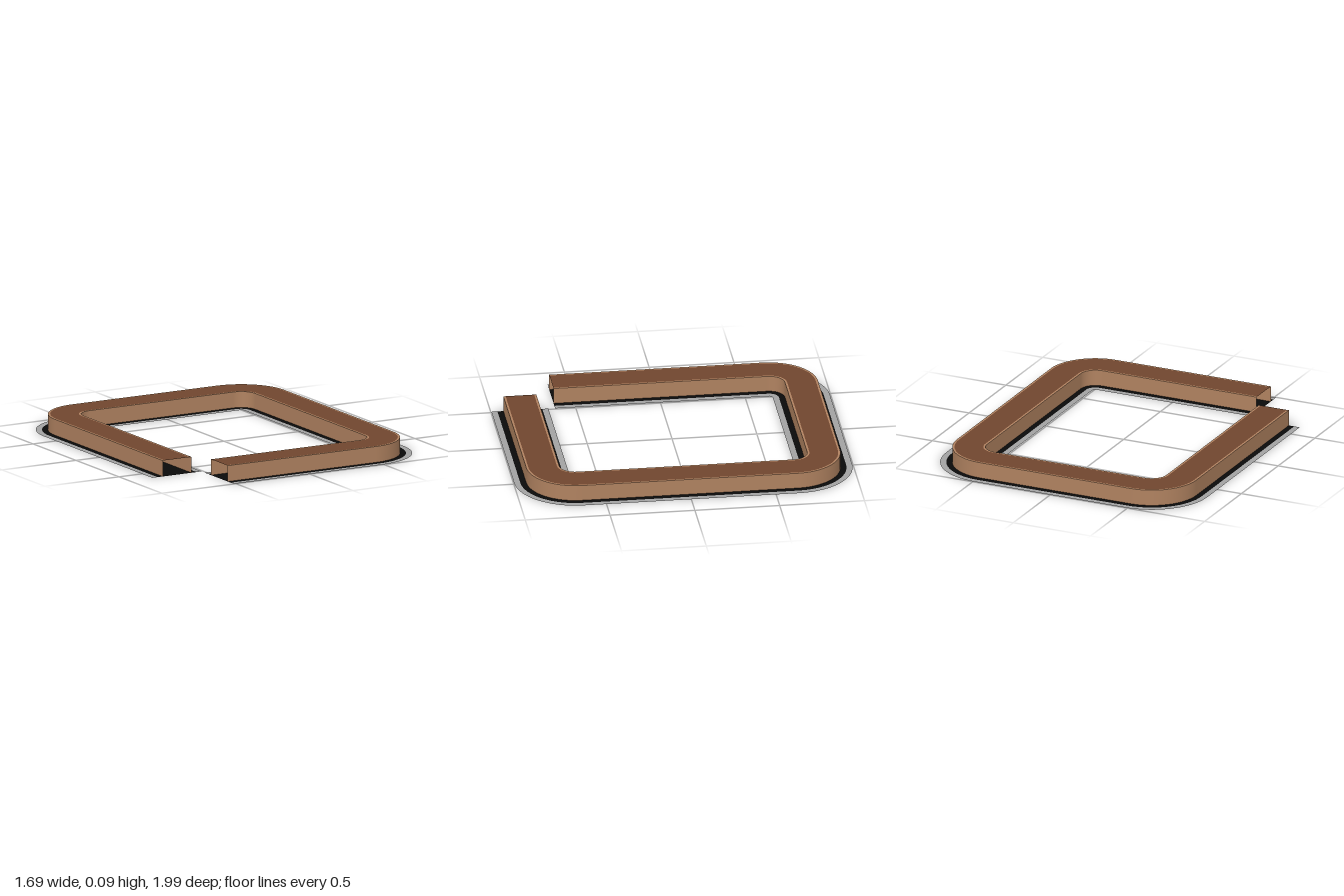
import * as THREE from 'three';

const HALF_X = 0.677, HALF_Z = 0.828, RADIUS = 0.19, HEIGHT = 0.095;

// Centre line of the ring: straight runs joined by three rounded corners.
// Each station holds a position and the outward direction.
function makePath() {
  const path = [{ x: -HALF_X, z: 0.62, nx: -1, nz: 0 }];
  const cx = HALF_X - RADIUS, cz = HALF_Z - RADIUS, steps = 16;
  const corners = [[-cx, -cz, Math.PI], [cx, -cz, Math.PI * 1.5], [cx, cz, 0]];
  for (const [x, z, start] of corners) {
    for (let i = 0; i <= steps; i++) {
      const a = start + (i / steps) * Math.PI / 2;
      const nx = Math.cos(a), nz = Math.sin(a);
      path.push({ x: x + nx * RADIUS, z: z + nz * RADIUS, nx, nz });
    }
  }
  path.push({ x: -0.512, z: HALF_Z, nx: 0, nz: 1 });
  return path;
}

// Sweep one profile edge, from [offset, height] to [offset, height], along the path.
function band(path, from, to) {
  const positions = [], index = [];
  path.forEach((p, i) => {
    for (const [o, y] of [from, to]) positions.push(p.x + p.nx * o, y, p.z + p.nz * o);
    if (i < path.length - 1) {
      const a = i * 2;
      index.push(a, a + 1, a + 2, a + 1, a + 3, a + 2);
    }
  });
  const geometry = new THREE.BufferGeometry();
  geometry.setAttribute('position', new THREE.Float32BufferAttribute(positions, 3));
  geometry.setIndex(index);
  geometry.computeVertexNormals();
  return geometry;
}

function material(name, color) {
  const m = new THREE.MeshStandardMaterial({ color, side: THREE.DoubleSide });
  m.name = name;
  return m;
}

export function createModel() {
  const group = new THREE.Group();
  group.name = 'openRing';
  const path = makePath();
  const lightBrown = material('lightBrown', 0xb08260);
  const darkBrown = material('darkBrown', 0x70462e);
  const grey = material('grey', 0xa2a2a2);
  const black = material('black', 0x0a0a0a);

  // Half widths of the nested strips
  const edge = 0.168, base = 0.132, wall = 0.097, top = 0.084;

  const parts = [
    // Flat base with its border strips
    ['outerBorder', grey, [edge, 0], [base, 0]],
    ['base', black, [base, 0], [-base, 0]],
    ['innerBorder', grey, [-base, 0], [-edge, 0]],
    // Hollow raised body, open at both ends
    ['outerWall', lightBrown, [wall, 0], [wall, HEIGHT]],
    ['outerRim', lightBrown, [wall, HEIGHT], [top, HEIGHT]],
    ['topSurface', darkBrown, [top, HEIGHT], [-top, HEIGHT]],
    ['innerRim', lightBrown, [-top, HEIGHT], [-wall, HEIGHT]],
    ['innerWall', lightBrown, [-wall, HEIGHT], [-wall, 0]],
  ];
  for (const [name, mat, from, to] of parts) {
    const mesh = new THREE.Mesh(band(path, from, to), mat);
    mesh.name = name;
    group.add(mesh);
  }
  return group;
}
